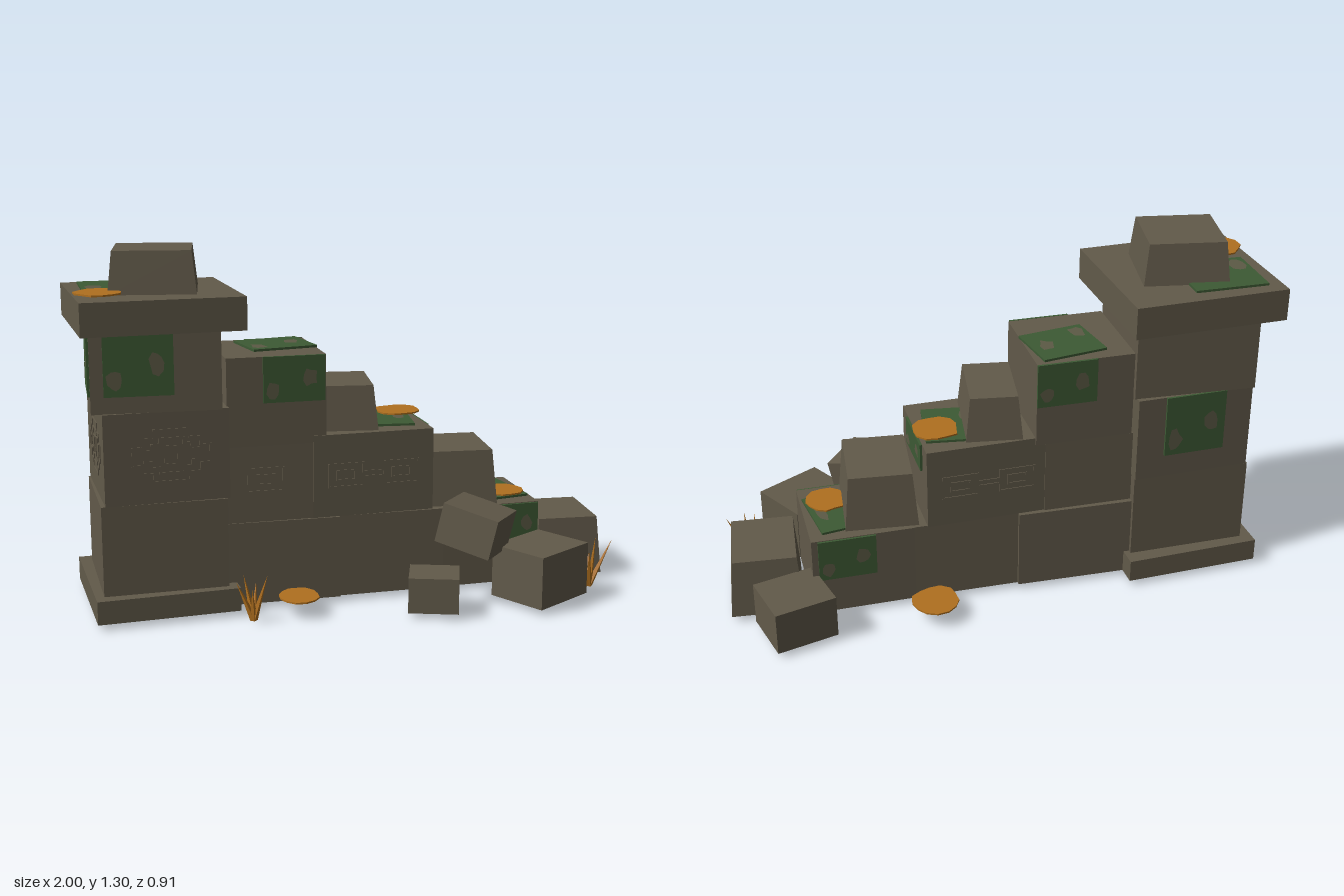
import * as THREE from 'three';

const mat = (name, color, side = THREE.FrontSide) => {
  const m = new THREE.MeshStandardMaterial({ color, flatShading: true, side });
  m.name = name;
  return m;
};

export function createModel() {
  const stone = mat('stone', 0x625a4a);
  const moss = mat('moss', 0x3d5a34);
  const bare = mat('bareStone', 0x5c5a45, THREE.DoubleSide);
  const leaf = mat('dryLeaf', 0xb0701f);
  const root = new THREE.Group();
  root.name = 'ruinedWall';

  let seed = 7;
  const rnd = () => (seed = (seed * 16807) % 2147483647) / 2147483647;

  const add = (parent, name, geo, material, x = 0, y = 0, z = 0) => {
    const m = new THREE.Mesh(geo, material);
    m.name = name;
    m.position.set(x, y, z);
    parent.add(m);
    return m;
  };

  // Stone block: centre, size, turn about y and optional taper toward the top
  function block(name, [x, y, z], [w, h, d], turn = 0, taper = 0) {
    const g = new THREE.Group();
    g.name = name;
    g.position.set(x, y, z);
    g.rotation.y = turn;
    g.userData.size = [w, h, d];
    const geo = new THREE.BoxGeometry(w, h, d);
    const p = geo.attributes.position;
    for (let i = 0; i < p.count; i++) {
      if (p.getY(i) < 0) continue;
      p.setX(i, p.getX(i) - Math.sign(p.getX(i)) * taper);
      p.setZ(i, p.getZ(i) - Math.sign(p.getZ(i)) * taper);
    }
    geo.computeVertexNormals();
    add(g, name + 'Stone', geo, stone);
    root.add(g);
    return g;
  }

  // Holder lying on one face of a block, local z pointing outward
  function onFace(b, face, u, v, name, spin = 0) {
    const [w, h, d] = b.userData.size;
    const g = new THREE.Group();
    g.name = name;
    const place = {
      front: [[u, v, d / 2], [0, 0]],
      back: [[-u, v, -d / 2], [0, Math.PI]],
      plusX: [[w / 2, v, -u], [0, Math.PI / 2]],
      minusX: [[-w / 2, v, u], [0, -Math.PI / 2]],
      top: [[u, h / 2, -v], [-Math.PI / 2, 0]],
    }[face];
    g.position.set(...place[0]);
    g.rotation.set(place[1][0], place[1][1], spin);
    b.add(g);
    return g;
  }

  // Irregular many-sided outline
  function blobShape(rx, ry, n, rough) {
    const pts = [];
    for (let i = 0; i < n; i++) {
      const a = (i / n) * Math.PI * 2;
      const r = 1 - rough * rnd();
      pts.push(new THREE.Vector2(Math.cos(a) * rx * r, Math.sin(a) * ry * r));
    }
    return new THREE.Shape(pts);
  }

  // Moss sheet with bare spots
  function mossPatch(b, face, u, v, w, h, spin = 0) {
    const g = onFace(b, face, u, v, 'mossPatch', spin);
    add(g, 'mossSheet', new THREE.BoxGeometry(w, h, 0.009), moss, 0, 0, 0.004);
    for (const [sx, sy] of [[-0.34, -0.24], [0.26, 0.02]]) {
      const spot = new THREE.ShapeGeometry(blobShape(w * 0.14, h * 0.23, 9, 0.4));
      add(g, 'bareSpot', spot, bare, sx * w, sy * h, 0.0097);
    }
  }

  // Raised carved outline: outer contour minus the same contour shrunk
  const rect = (w, h) => [[-w, -h], [w, -h], [w, h], [-w, h]].map(([x, y]) => [x / 2, y / 2]);
  function carve(g, pts, x = 0, k = 0.006) {
    const shape = new THREE.Shape(pts.map(p => new THREE.Vector2(...p)));
    shape.holes.push(new THREE.Path(pts.map(([px, py]) =>
      new THREE.Vector2(px - Math.sign(px) * k, py - Math.sign(py) * k))));
    add(g, 'carvedLine', new THREE.ExtrudeGeometry(shape, { depth: 0.003, bevelEnabled: false }), stone, x);
  }
  function steppedEmblem(b, face, u, v) {
    const g = onFace(b, face, u, v, 'steppedEmblem');
    const quarter = [[0.14, 0.035], [0.105, 0.035], [0.105, 0.065], [0.065, 0.065], [0.065, 0.095]];
    const flip = (sx, sy) => quarter.map(([x, y]) => [x * sx, y * sy]);
    const ring = [...flip(1, 1), ...flip(-1, 1).reverse(), ...flip(-1, -1), ...flip(1, -1).reverse()];
    carve(g, ring);
    carve(g, ring.map(([x, y]) => [x * 0.7, y * 0.68]));
    carve(g, rect(0.05, 0.07));
  }
  function boxEmblem(b, face, u, v, linked) {
    const g = onFace(b, face, u, v, 'boxEmblem');
    for (const x of linked ? [-0.105, 0.105] : [0]) {
      carve(g, rect(0.135, 0.09), x);
      carve(g, rect(0.075, 0.04), x);
    }
    if (linked) carve(g, rect(0.085, 0.025));
  }

  // Pillar
  block('pillarBase', [-0.71, 0.062, -0.065], [0.51, 0.085, 0.53], 0.05);
  block('pillarLower', [-0.705, 0.267, -0.06], [0.445, 0.325, 0.44], 0.02);
  const mid = block('pillarMiddle', [-0.697, 0.593, -0.063], [0.44, 0.325, 0.445], 0.04);
  const upper = block('pillarUpper', [-0.71, 0.895, -0.06], [0.45, 0.28, 0.445], -0.04);
  const cap = block('pillarCap', [-0.705, 1.092, -0.065], [0.568, 0.117, 0.565], 0.05);
  block('pillarTop', [-0.692, 1.226, -0.062], [0.305, 0.15, 0.305], -0.155, 0.016);
  steppedEmblem(mid, 'front', 0.015, 0.007);
  steppedEmblem(mid, 'minusX', 0, 0.007);
  mossPatch(mid, 'back', 0, 0.045, 0.23, 0.235);
  mossPatch(upper, 'front', -0.06, 0.03, 0.24, 0.22);
  mossPatch(upper, 'minusX', 0.09, 0.03, 0.24, 0.22);
  mossPatch(cap, 'top', -0.1, 0.1, 0.27, 0.25, -0.04);

  // Wall courses, stepping down toward +x
  block('courseOneA', [-0.28, 0.172, -0.07], [0.44, 0.305, 0.39], -0.015);
  block('courseOneB', [0.135, 0.172, -0.065], [0.4, 0.305, 0.365]);
  const endBlock = block('courseOneC', [0.52, 0.172, -0.07], [0.375, 0.305, 0.365], 0.015);
  const twoA = block('courseTwoA', [-0.325, 0.465, -0.065], [0.34, 0.28, 0.37]);
  const twoB = block('courseTwoB', [0.06, 0.478, -0.067], [0.455, 0.305, 0.37], 0.03);
  const three = block('courseThree', [-0.295, 0.765, -0.065], [0.36, 0.32, 0.375], 0.015);
  boxEmblem(twoA, 'front', -0.01, 0.015, false);
  for (const face of ['front', 'back']) boxEmblem(twoB, face, 0, 0, true);
  mossPatch(three, 'front', 0.063, 0.078, 0.225, 0.165);
  mossPatch(three, 'back', -0.07, 0.078, 0.22, 0.165);
  mossPatch(three, 'top', 0.045, 0.045, 0.245, 0.215, 0.16);
  mossPatch(twoB, 'plusX', 0.008, 0.098, 0.22, 0.105);
  mossPatch(twoB, 'top', 0.105, 0.01, 0.18, 0.24, -0.15);
  mossPatch(endBlock, 'front', 0.085, 0.07, 0.2, 0.16);
  mossPatch(endBlock, 'back', -0.06, 0.07, 0.21, 0.16);
  mossPatch(endBlock, 'top', 0.085, 0.01, 0.15, 0.25, 0.15);

  // Tapered coping stones
  block('copingUpper', [0.008, 0.712, -0.075], [0.205, 0.165, 0.31], -0.13, 0.017);
  block('copingMiddle', [0.428, 0.428, -0.063], [0.265, 0.205, 0.325], -0.085, 0.018);
  block('copingLower', [0.858, 0.13, -0.06], [0.265, 0.22, 0.315], -0.075, 0.018);

  // Fallen rubble
  block('rubbleSmall', [0.238, 0.085, 0.315], [0.18, 0.13, 0.16], -0.33);
  block('rubbleLarge', [0.655, 0.117, 0.283], [0.267, 0.195, 0.232], 0.53);
  block('rubbleBack', [0.782, 0.1, -0.328], [0.228, 0.16, 0.215], 0.26);
  const tilted = block('rubbleTilted', [0.41, 0.295, 0.262], [0.212, 0.148, 0.205], -0.7);
  tilted.rotation.set(0.1, -0.7, -0.2, 'XZY');

  // Fallen leaf clumps: x, y, z, half widths
  for (const [x, y, z, rx, rz] of [
    [-0.9, 1.161, 0.085, 0.09, 0.105], [0.22, 0.65, -0.13, 0.09, 0.09],
    [0.615, 0.34, -0.015, 0.08, 0.085], [-0.235, 0.06, 0.2, 0.085, 0.095],
    [0.275, 0.06, -0.345, 0.1, 0.1]]) {
    const geo = new THREE.ExtrudeGeometry(blobShape(rx, rz, 13, 0.2), { depth: 0.006, bevelEnabled: false });
    add(root, 'leafClump', geo, leaf, x, y, z).rotation.x = -Math.PI / 2;
  }

  // Dry grass tufts: blades as tip offsets from the root
  const up = new THREE.Vector3(0, 1, 0);
  function tuft(x, z, tips) {
    const g = new THREE.Group();
    g.name = 'grassTuft';
    g.position.set(x, 0.008, z);
    for (const tip of tips) {
      const v = new THREE.Vector3(...tip);
      const geo = new THREE.ConeGeometry(0.014, v.length(), 4).translate(0, v.length() / 2, 0);
      add(g, 'grassBlade', geo, leaf).quaternion.setFromUnitVectors(up, v.normalize());
    }
    root.add(g);
  }
  tuft(-0.41, 0.255, [[-0.06, 0.14, -0.01], [-0.03, 0.16, -0.03], [0.045, 0.17, 0.03], [0.015, 0.13, -0.03], [-0.01, 0.12, 0.03]]);
  tuft(0.89, 0.2, [[-0.085, 0.14, 0.01], [0.085, 0.175, 0.005], [0.015, 0.19, 0.01], [-0.03, 0.15, 0.06], [0.03, 0.1, -0.085]]);

  return root;
}
